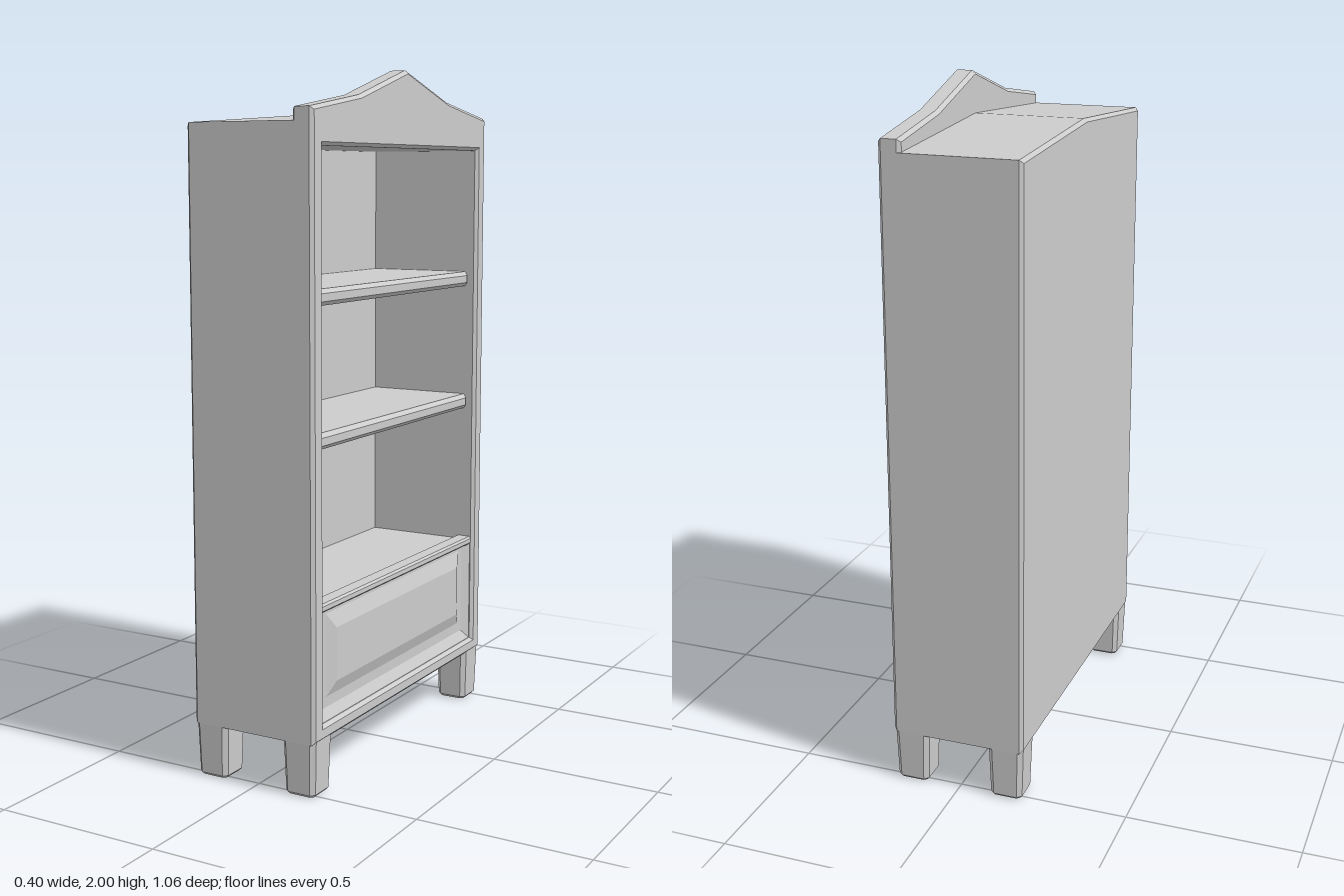
import * as THREE from 'three';

const mat = new THREE.MeshStandardMaterial({ color: 0xcccccc, flatShading: true });

function rect(hz, y0, y1) {
  return [[-hz, y0], [hz, y0], [hz, y1], [-hz, y1]];
}

// Bevelled slab: an outline in the z-y plane, extruded from x0 to x1
function slab(outline, hole, x0, x1, bevel) {
  const pts = (list) => list.map(([a, b]) => new THREE.Vector2(a, b));
  const shape = new THREE.Shape(pts(outline));
  if (hole) shape.holes.push(new THREE.Path(pts(hole)));
  const g = new THREE.ExtrudeGeometry(shape, {
    depth: x1 - x0 - 2 * bevel, bevelEnabled: true, bevelThickness: bevel,
    bevelSize: bevel, bevelOffset: -bevel, bevelSegments: 1,
  });
  g.translate(0, 0, x0 + bevel);
  g.rotateY(Math.PI / 2);
  return g;
}

// Raised panel facing +x, lofted through rectangles [half width, y0, y1, x]
function raisedPanel(rings) {
  const pos = [];
  const corners = rings.map(([h, y0, y1, x]) => [[x, y0, h], [x, y0, -h], [x, y1, -h], [x, y1, h]]);
  const quad = (a, b, c, d) => pos.push(...a, ...b, ...c, ...a, ...c, ...d);
  for (let i = 0; i < corners.length - 1; i++) {
    const o = corners[i], n = corners[i + 1];
    for (let k = 0; k < 4; k++) {
      const m = (k + 1) % 4;
      quad(o[k], o[m], n[m], n[k]);
    }
  }
  quad(...corners[corners.length - 1]);
  const g = new THREE.BufferGeometry();
  g.setAttribute('position', new THREE.Float32BufferAttribute(pos, 3));
  g.computeVertexNormals();
  return g;
}

// Chamfered square post, tapering towards the foot
function legGeometry() {
  const w = 0.053, c = 0.014, h = 0.18;
  const s = new THREE.Shape([
    [-w + c, -w], [w - c, -w], [w, -w + c], [w, w - c],
    [w - c, w], [-w + c, w], [-w, w - c], [-w, -w + c],
  ].map(([a, b]) => new THREE.Vector2(a, b)));
  const g = new THREE.ExtrudeGeometry(s, {
    depth: h - 0.016, bevelEnabled: true, bevelThickness: 0.008, bevelSize: 0.008,
    bevelOffset: -0.008, bevelSegments: 1,
  });
  g.translate(0, 0, 0.008);
  g.rotateX(-Math.PI / 2);
  const p = g.attributes.position;
  for (let i = 0; i < p.count; i++) {
    const k = 0.89 + 0.11 * Math.min(1, p.getY(i) / 0.14);
    p.setX(i, p.getX(i) * k);
    p.setZ(i, p.getZ(i) * k);
  }
  g.computeVertexNormals();
  return g;
}

export function createModel() {
  const group = new THREE.Group();
  const add = (name, geometry, x = 0, y = 0, z = 0) => {
    const m = new THREE.Mesh(geometry, mat);
    m.name = name;
    m.position.set(x, y, z);
    group.add(m);
    return m;
  };

  // Carcass with a shallow ridged roof, open in the middle
  const carcass = [[-0.53, 0.155], [0.53, 0.155], [0.53, 1.845], [0, 1.88], [-0.53, 1.845]];
  add('carcass', slab(carcass, rect(0.475, 0.53, 1.78), -0.2, 0.165, 0.01));
  add('backPanel', new THREE.BoxGeometry(0.035, 1.3, 1.0), -0.1825, 1.16, 0);

  // Front frame rising into a pediment
  const front = [
    [-0.53, 0.155], [0.53, 0.155], [0.53, 1.88], [0.27, 1.92],
    [0, 2], [-0.27, 1.92], [-0.53, 1.88],
  ];
  add('frontFrame', slab(front, rect(0.475, 0.2, 1.78), 0.135, 0.2, 0.01));

  // Shelves
  for (const y of [0.962, 1.355]) {
    add('shelf', slab(rect(0.478, y, y + 0.046), null, -0.18, 0.172, 0.012));
  }

  // Lower front panel with its top lip
  add('lowerPanel', raisedPanel([
    [0.48, 0.195, 0.53, 0.19], [0.445, 0.23, 0.515, 0.172],
    [0.42, 0.26, 0.5, 0.172], [0.385, 0.3, 0.455, 0.187],
  ]));
  add('panelLip', slab(rect(0.477, 0.515, 0.54), null, 0.14, 0.192, 0.006));

  // Legs
  const leg = legGeometry();
  for (const sx of [-1, 1]) {
    for (const sz of [-1, 1]) {
      add(sx > 0 ? 'frontLeg' : 'backLeg', leg, sx * 0.145, 0, sz * 0.477);
    }
  }
  return group;
}
